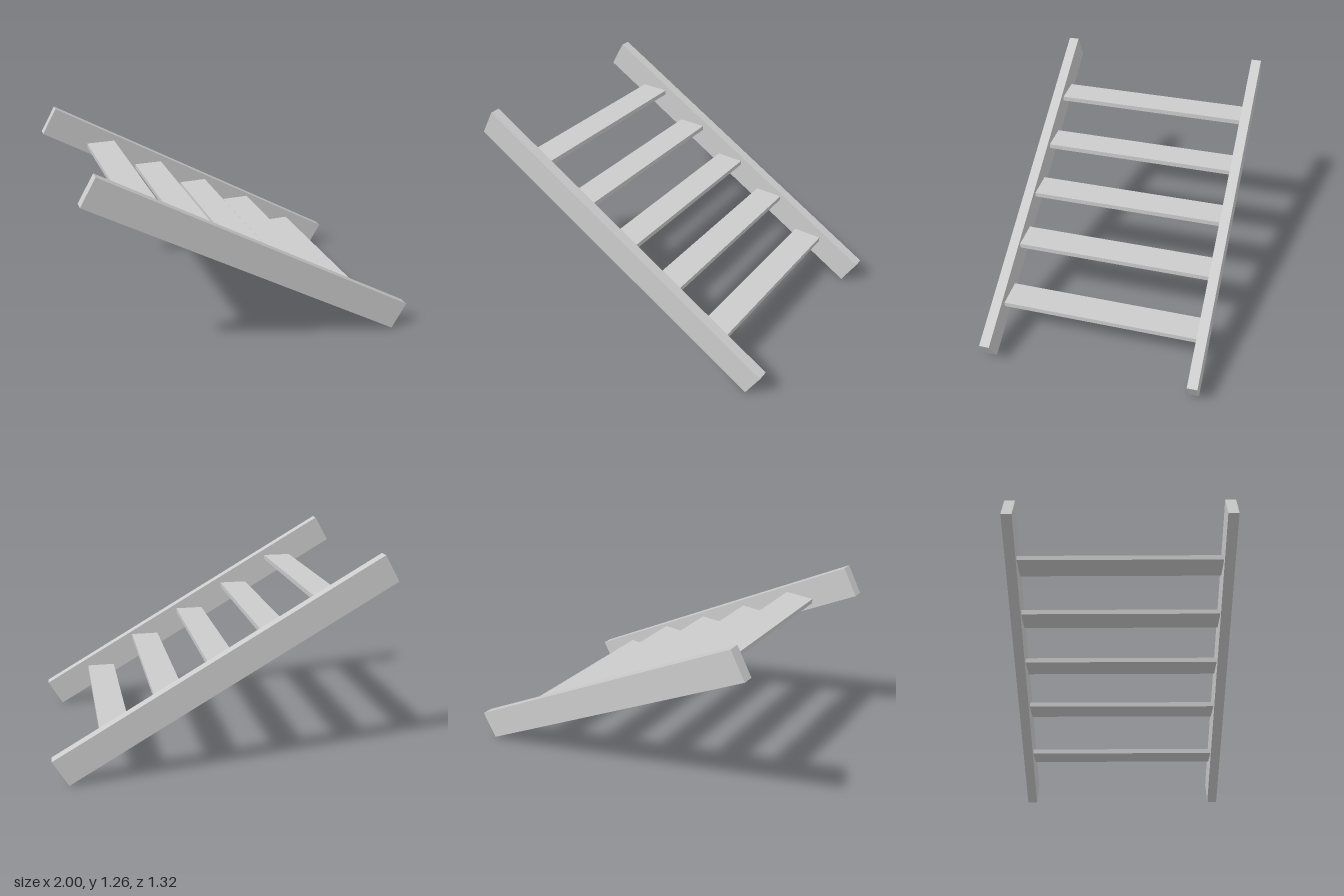
import * as THREE from 'three';

export function createModel() {
  const group = new THREE.Group();
  const material = new THREE.MeshStandardMaterial({ color: 0xcccccc, flatShading: true });

  function addBoard(name, size, position, tilt = 0) {
    const mesh = new THREE.Mesh(new THREE.BoxGeometry(...size), material);
    mesh.name = name;
    mesh.position.set(...position);
    mesh.rotation.z = tilt;
    group.add(mesh);
  }

  // Two sloping side boards
  for (const [name, side] of [['frontStringer', 1], ['backStringer', -1]]) {
    addBoard(name, [2.204, 0.181, 0.062], [0, 0.63, side * 0.631], -Math.PI / 6);
  }

  // Level treads between them: [x, y] of each centre, top to bottom
  const treads = [[-0.631, 0.992], [-0.317, 0.808], [-0.002, 0.636], [0.314, 0.465], [0.629, 0.252]];
  treads.forEach(([x, y], i) => addBoard(`tread${i + 1}`, [0.179, 0.029, 1.2], [x, y, 0]));

  return group;
}
